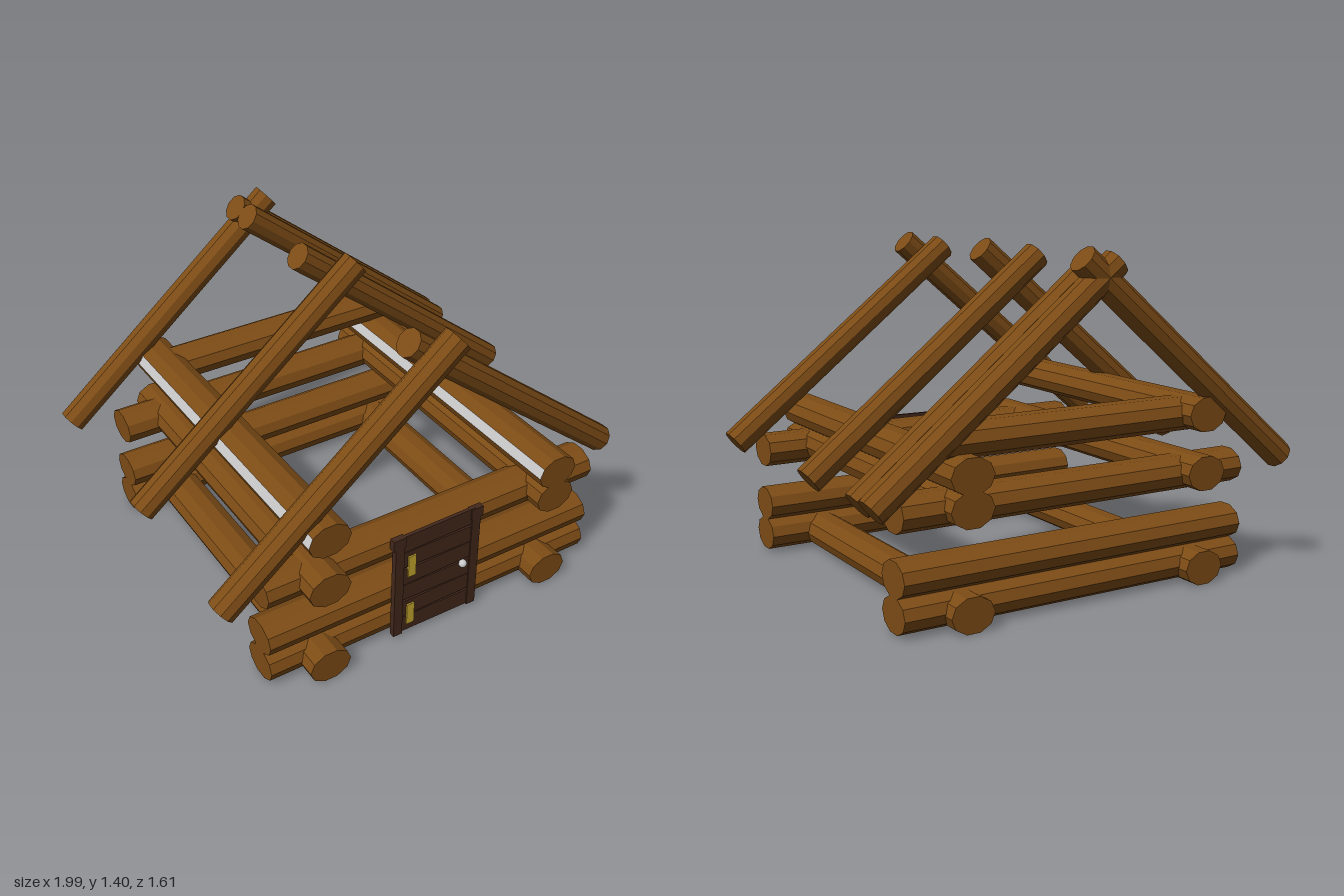
import * as THREE from 'three';

const mat = (color) => new THREE.MeshStandardMaterial({ color, flatShading: true });

export function createModel() {
  const cabin = new THREE.Group();
  cabin.name = 'logCabin';
  const wood = mat(0x7d4c16), grey = mat(0xcccccc), dark = mat(0x43281c), brass = mat(0xc9a92f);
  const SIDES = 10;

  function add(parent, name, geometry, material, x = 0, y = 0, z = 0) {
    const mesh = new THREE.Mesh(geometry, material);
    mesh.name = name;
    mesh.position.set(x, y, z);
    parent.add(mesh);
    return mesh;
  }

  // Flattened log lying along x or z; one of its facets may be left grey
  function wallLog(name, axis, from, to, y, offset, greyFacet = -1) {
    const r = 0.07 / Math.cos(Math.PI / SIDES);
    const geo = new THREE.CylinderGeometry(r, r, to - from, SIDES);
    geo.rotateZ(-Math.PI / 2).scale(1, 1, 1.27);
    geo.clearGroups();
    const total = geo.index.count;
    if (greyFacet < 0) geo.addGroup(0, total, 0);
    else {
      const start = greyFacet * 6;
      geo.addGroup(0, start, 0);
      geo.addGroup(start, 6, 1);
      geo.addGroup(start + 6, total - start - 6, 0);
    }
    if (axis === 'z') geo.rotateY(-Math.PI / 2);
    const mid = (from + to) / 2;
    add(cabin, name, geo, [wood, grey], axis === 'x' ? mid : offset, y, axis === 'x' ? offset : mid);
  }

  const UNDERSIDE = 2, OUTER = 9;

  // Front and back wall logs
  for (const [label, z] of [['front', 0.635], ['back', -0.64]]) {
    wallLog(label + 'LogLow', 'x', -0.77, 0.82, 0.082, z);
    wallLog(label + 'LogSecond', 'x', -0.77, 0.82, 0.22, z);
    wallLog(label + 'LogHigh', 'x', -0.77, 0.82, 0.465, z, UNDERSIDE);
  }
  wallLog('backLogTop', 'x', -0.57, 0.62, 0.71, -0.635, UNDERSIDE);

  // Side wall logs
  for (const [label, x] of [['left', 0.56], ['right', -0.54]]) {
    wallLog(label + 'LogLow', 'z', -0.78, 0.8, 0.075, x);
    wallLog(label + 'LogHigh', 'z', -0.78, 0.8, 0.475, x, UNDERSIDE);
  }
  wallLog('leftLogTop', 'z', -0.78, 0.8, 0.6, 0.56, OUTER);
  wallLog('rightLogTop', 'z', -0.78, 0.8, 0.72, -0.54, OUTER);

  // Rafters, each a round pole between two points
  function rafter(name, low, high) {
    const a = new THREE.Vector3(...low), b = new THREE.Vector3(...high);
    const dir = b.clone().sub(a);
    const mesh = add(cabin, name, new THREE.CylinderGeometry(0.06, 0.06, dir.length(), SIDES), wood);
    mesh.position.copy(a).add(b).multiplyScalar(0.5);
    mesh.quaternion.setFromUnitVectors(new THREE.Vector3(0, 1, 0), dir.normalize());
  }
  for (const z of [0.705, 0, -0.75]) rafter('rightRafter', [-0.96, 0.5, z], [0.06, 1.365, z + 0.015]);
  for (const z of [0.61, -0.2, -0.64, -0.75]) rafter('leftRafter', [0.957, 0.515, z], [-0.095, 1.345, z + 0.015]);

  // Door of six boards between two posts
  const door = new THREE.Group();
  door.name = 'door';
  cabin.add(door);
  for (let i = 0; i < 6; i++) {
    const board = add(door, 'doorBoard', new THREE.BoxGeometry(0.37, 0.079, 0.016), dark, 0, 0.065 + i * 0.086, 0.738);
    board.rotation.z = (i % 2 ? 1 : -1) * 0.012;
  }
  for (const s of [-1, 1]) {
    add(door, 'doorPost', new THREE.BoxGeometry(0.042, 0.51, 0.026), dark, s * 0.187, 0.275, 0.738);
    add(door, 'postCap', new THREE.BoxGeometry(0.058, 0.05, 0.028), dark, s * 0.19, 0.51, 0.738);
  }

  // Hinges and a knob on each face
  for (const y of [0.115, 0.373]) add(door, 'hinge', new THREE.BoxGeometry(0.036, 0.105, 0.012), brass, -0.127, y, 0.747);
  const knobMat = new THREE.MeshStandardMaterial({ color: 0xcccccc });
  for (const z of [0.752, 0.725]) add(door, 'knob', new THREE.SphereGeometry(0.018, 16, 12), knobMat, 0.13, 0.268, z);

  return cabin;
}
